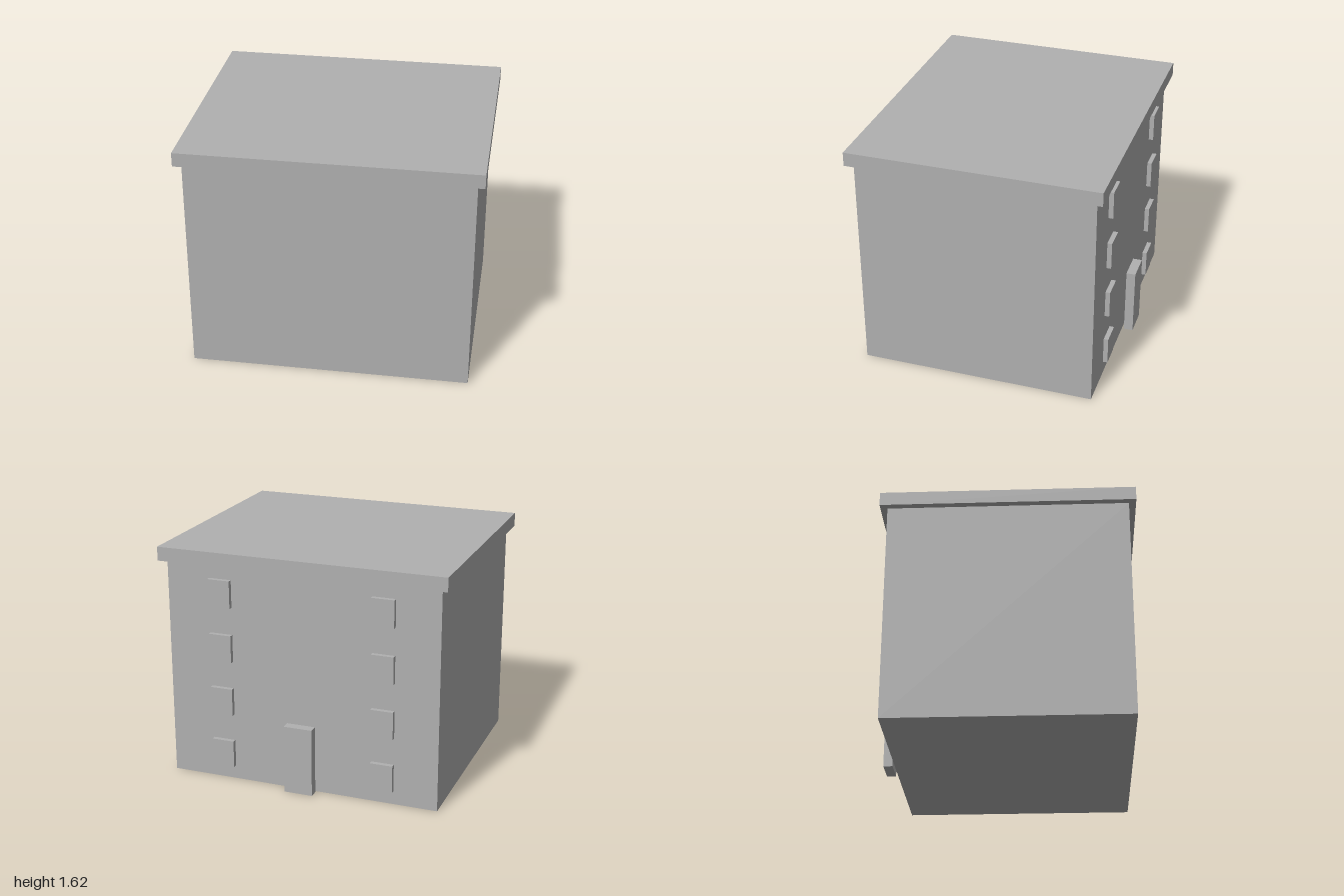
import * as THREE from 'three';

const U = 2 / 21; // building module: the roof is 21 modules wide
const BODY_BACK = -0.794;

export function createModel() {
  const building = new THREE.Group();
  building.name = 'building';

  const grey = new THREE.MeshStandardMaterial({ color: 0xb0b0b0 });
  grey.name = 'plain grey';

  // Box given by its size, the centre of its base in x and y, and its rearmost z
  function addBox(name, w, h, d, x, y, backZ) {
    const mesh = new THREE.Mesh(new THREE.BoxGeometry(w, h, d), grey);
    mesh.name = name;
    mesh.position.set(x, y + h / 2, backZ + d / 2);
    building.add(mesh);
  }

  // Main block and overhanging flat roof
  addBox('walls', 20 * U, 16 * U, 17 * U, 0, 0, BODY_BACK);
  addBox('roof', 21 * U, U, 18 * U, 0, 16 * U, BODY_BACK - U / 2);

  // Door slab standing just clear of the rear wall
  addBox('door', 2.1 * U, 5 * U, 0.0635, 0, 0, -0.873);

  // Two columns of four raised windows on the rear wall
  const depth = U / 3;
  for (const side of [-1, 1]) {
    for (let floor = 0; floor < 4; floor++) {
      addBox('window', 1.65 * U, 2 * U, depth, side * 6 * U, (1 + 4 * floor) * U, BODY_BACK - depth);
    }
  }

  return building;
}
